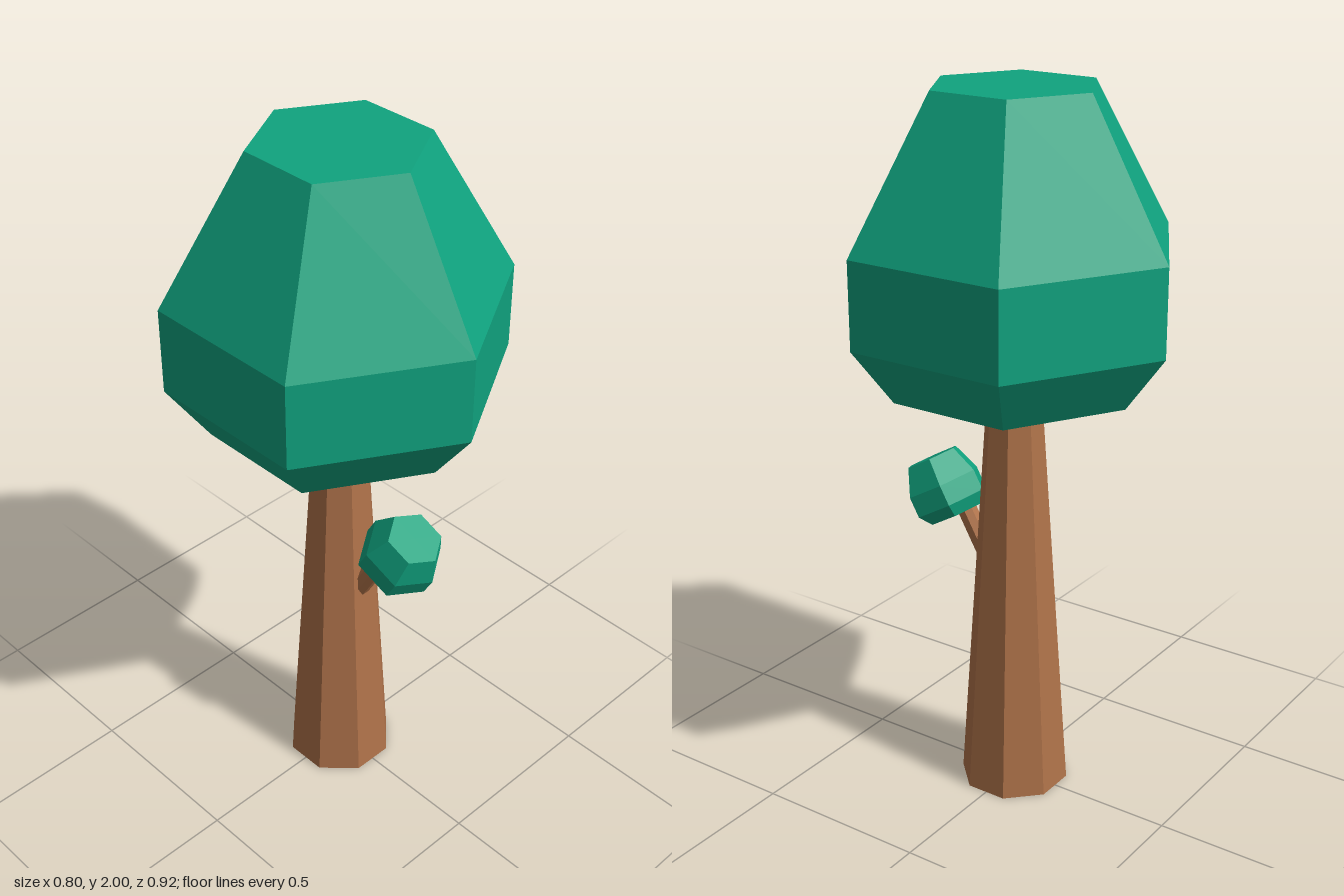
import * as THREE from 'three';

const material = (color) => new THREE.MeshStandardMaterial({ color, flatShading: true });

export function createModel() {
  const bark = material(0xb0734a);
  const leaf = material(0x10a37f);
  const tree = new THREE.Group();
  tree.name = 'tree';

  // Eight-sided tapered wood, standing on its base, with flat sides facing the axes
  const wood = (name, rTop, rBottom, height) => {
    const geometry = new THREE.CylinderGeometry(rTop, rBottom, height, 8);
    geometry.rotateY(Math.PI / 8).translate(0, height / 2, 0);
    const mesh = new THREE.Mesh(geometry, bark);
    mesh.name = name;
    tree.add(mesh);
    return mesh;
  };

  // Six-sided closed foliage from [radius, height] rings, bottom to top
  const foliage = (name, rings) => {
    const profile = [[0, rings[0][1]], ...rings, [0, rings.at(-1)[1]]];
    const points = profile.map(([r, y]) => new THREE.Vector2(r, y));
    const mesh = new THREE.Mesh(new THREE.LatheGeometry(points, 6), leaf);
    mesh.name = name;
    tree.add(mesh);
    return mesh;
  };

  // Trunk and main crown
  wood('trunk', 0.072, 0.155, 1.24);
  foliage('crown', [[0.346, 1.205], [0.46, 1.36], [0.46, 1.6], [0.231, 2]]);

  // Side branch leaning forward, with its own small tuft
  const lean = Math.PI / 6;
  const branch = wood('branch', 0.029, 0.029, 0.26);
  branch.position.set(0, 0.606, 0.05);
  branch.rotation.x = lean;

  const tuft = foliage('branchTuft', [[0.085, 0], [0.113, 0.035], [0.113, 0.095], [0.08, 0.173]]);
  tuft.position.set(0.013, 0.787, 0.187);
  tuft.rotation.set(lean, 0.1, 0);

  return tree;
}
